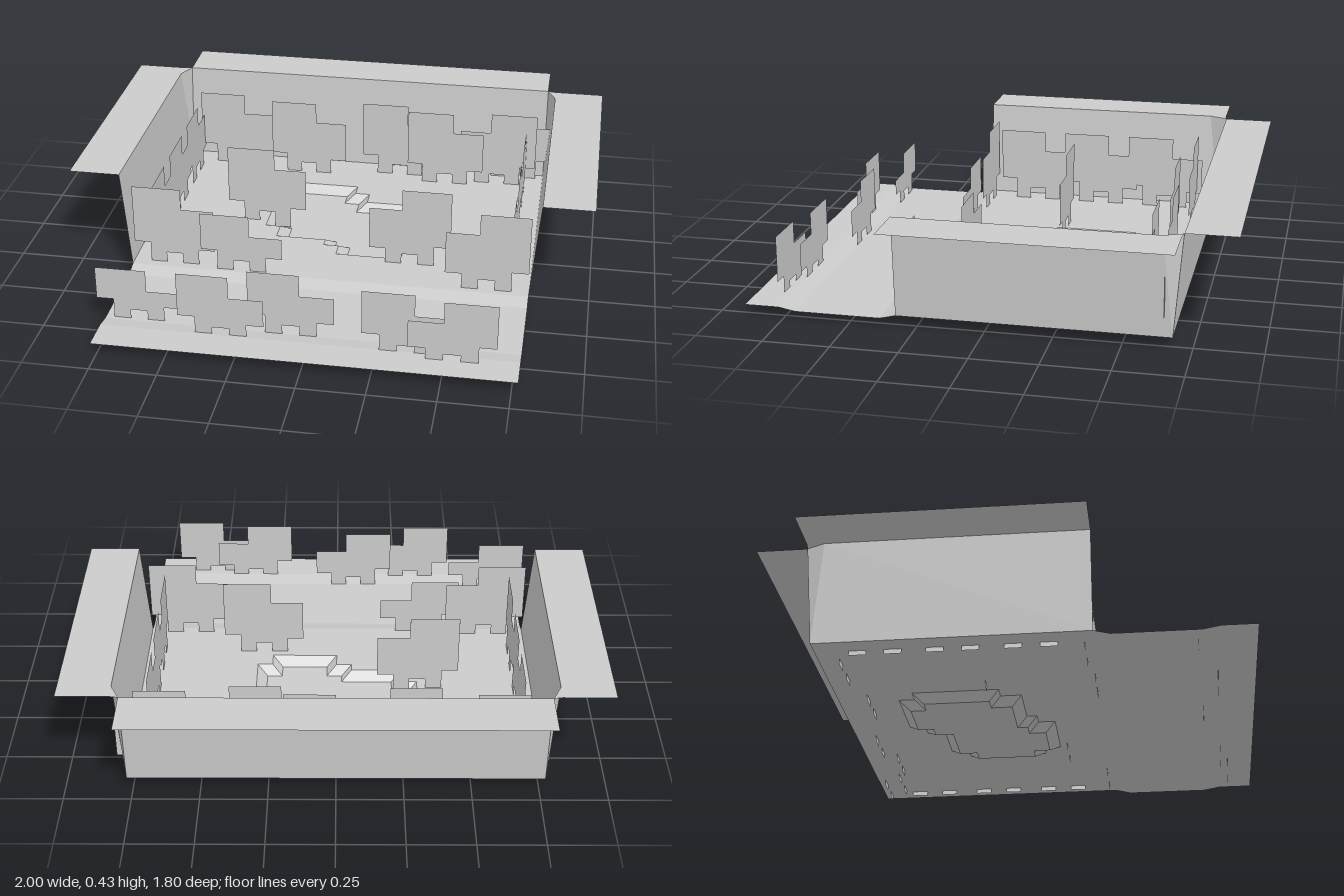
import * as THREE from 'three';

const FLOOR = 0.043, RIM = 0.43, PX = 0.064;
const mat = new THREE.MeshStandardMaterial({ color: 0xcccccc, flatShading: true, side: THREE.DoubleSide });

// Flat convex panel through 3D corner points
function panel(parent, name, pts) {
  const tri = [];
  for (let i = 1; i < pts.length - 1; i++) tri.push(...pts[0], ...pts[i], ...pts[i + 1]);
  const geo = new THREE.BufferGeometry();
  geo.setAttribute('position', new THREE.Float32BufferAttribute(tri, 3));
  geo.computeVertexNormals();
  const mesh = new THREE.Mesh(geo, mat);
  mesh.name = name;
  parent.add(mesh);
}

// Horizontal sheet from an outline in (x, z), with optional hole
function sheet(parent, name, outline, y, hole) {
  const v = ([x, z]) => new THREE.Vector2(x, -z);
  const shape = new THREE.Shape(outline.map(v));
  if (hole) shape.holes.push(new THREE.Path(hole.map(v)));
  const mesh = new THREE.Mesh(new THREE.ShapeGeometry(shape).rotateX(-Math.PI / 2), mat);
  mesh.position.y = y;
  mesh.name = name;
  parent.add(mesh);
}

// Blocky upright tuft: tall part, lower shoulder and two feet that pierce the ground
function tuft(height) {
  const p = PX, low = 0.085, mid = height - 1.35 * p;
  const pts = [
    [0, low + 0.02], [p, low + 0.02], [p, 0], [2 * p, 0], [2 * p, low - 0.02], [3 * p, low - 0.02], [3 * p, 0], [4 * p, 0],
    [4 * p, low], [5 * p, low], [5 * p, mid], [3 * p, mid], [3 * p, height], [0, height],
  ];
  return new THREE.ShapeGeometry(new THREE.Shape(pts.map(([x, y]) => new THREE.Vector2(x, y))));
}

export function createModel() {
  const model = new THREE.Group();
  model.name = 'groundTray';

  // Stepped pond outline (x, z), clockwise as seen from above
  const pond = [
    [-0.26, -0.45], [0, -0.45], [0, -0.39], [0.06, -0.39], [0.06, -0.32], [0.26, -0.32], [0.26, -0.25], [0.32, -0.25],
    [0.32, 0.06], [0.26, 0.06], [0.26, 0.125], [0, 0.125], [0, 0.06], [-0.06, 0.06], [-0.06, 0.02], [-0.26, 0.02],
    [-0.26, -0.06], [-0.32, -0.06], [-0.32, -0.39], [-0.26, -0.39],
  ];
  const n = pond.length;
  // Inward offset along the normals of both edges meeting at a corner
  const inward = (a, b) => [-Math.sign(b[1] - a[1]) * 0.04, Math.sign(b[0] - a[0]) * 0.04];
  const inner = pond.map((c, i) => {
    const e = inward(pond[(i + n - 1) % n], c), f = inward(c, pond[(i + 1) % n]);
    return [c[0] + e[0] + f[0], c[1] + e[1] + f[1]];
  });
  const pit = new THREE.Group();
  pit.name = 'pond';
  model.add(pit);
  sheet(pit, 'pondBed', inner, 0.013);
  for (let i = 0; i < n; i++) {
    const j = (i + 1) % n;
    panel(pit, 'pondBank', [
      [pond[i][0], FLOOR, pond[i][1]], [inner[i][0], 0.013, inner[i][1]],
      [inner[j][0], 0.013, inner[j][1]], [pond[j][0], FLOOR, pond[j][1]],
    ]);
  }

  // Floor and gently dipped front apron
  const w = 0.773;
  sheet(model, 'floor', [[-w, -0.68], [w, -0.68], [w, 0.325], [-w, 0.325]], FLOOR, pond);
  const apron = [[0.325, FLOOR], [0.385, 0.028], [0.705, 0.028], [0.77, FLOOR - 0.003], [0.9, FLOOR - 0.003]];
  for (let i = 0; i < apron.length - 1; i++) {
    const [z0, y0] = apron[i], [z1, y1] = apron[i + 1];
    panel(model, 'apron', [[-w, y0, z0], [-w, y1, z1], [w, y1, z1], [w, y0, z0]]);
  }

  // Back wall and ledge
  panel(model, 'backWall', [[-w, FLOOR, -0.68], [w, FLOOR, -0.68], [w, RIM, -0.71], [-w, RIM, -0.71]]);
  panel(model, 'backLedge', [[-w, RIM, -0.71], [w, RIM, -0.71], [w, RIM, -0.9], [-w, RIM, -0.9]]);

  // Side walls, clipped back corners and side ledges
  for (const s of [-1, 1]) {
    const P = (x, y, z) => [s * x, y, z];
    const pts = {
      sideWall: [P(w, FLOOR, 0.325), P(w, FLOOR, -0.68), P(0.805, RIM, -0.64), P(0.805, RIM, 0.325)],
      cornerWall: [P(w, FLOOR, -0.68), P(w, RIM, -0.71), P(0.805, RIM, -0.64)],
      sideLedge: [P(0.805, RIM, 0.325), P(1, RIM, 0.325), P(1, RIM, -0.705), P(0.805, RIM, -0.705)],
      ledgeCorner: [P(0.805, RIM, -0.64), P(0.805, RIM, -0.705), P(w, RIM, -0.71)],
    };
    // Reverse the order on the mirrored side so normals keep their sense
    for (const k in pts) panel(model, k, s > 0 ? pts[k].reverse() : pts[k]);
  }

  // Tufts per area: base, height, and [x of the tall side, z, mirrored]
  const areas = [
    { base: 0.02, height: 0.345, spots: [
      [-0.71, -0.6], [-0.39, -0.56], [0, -0.6], [0.2, -0.55], [0.74, -0.58, true], // back
      [-0.77, 0.29], [0.77, 0.3, true], [0.457, 0.155, true], [-0.48, -0.1], // floor
    ] },
    { base: 0.02, height: 0.26, spots: [[-0.5, 0.31], [0.805, -0.65, true]] },
    { base: 0, height: 0.28, spots: [[-0.48, 0.76], [-0.23, 0.705], [0.2, 0.77], [0.69, 0.8, true]] },
    { base: 0, height: 0.235, spots: [[-0.805, 0.69]] },
  ];
  const tufts = new THREE.Group();
  tufts.name = 'tufts';
  model.add(tufts);
  const place = (geo, x, y, z, turn, flip) => {
    const mesh = new THREE.Mesh(geo, mat);
    mesh.name = 'tuft';
    mesh.position.set(x, y, z);
    mesh.rotation.y = turn;
    mesh.scale.x = flip ? -1 : 1;
    tufts.add(mesh);
  };
  for (const { base, height, spots } of areas) {
    const geo = tuft(height);
    for (const [x, z, flip] of spots) place(geo, x, base, z, 0, flip);
  }
  // Tufts along both side walls
  const sideGeo = tuft(0.32);
  for (const x of [-0.7, 0.7])
    for (const z of [-0.3, -0.02, 0.26]) place(sideGeo, x, 0.025, z, Math.PI / 2, false);

  return model;
}
